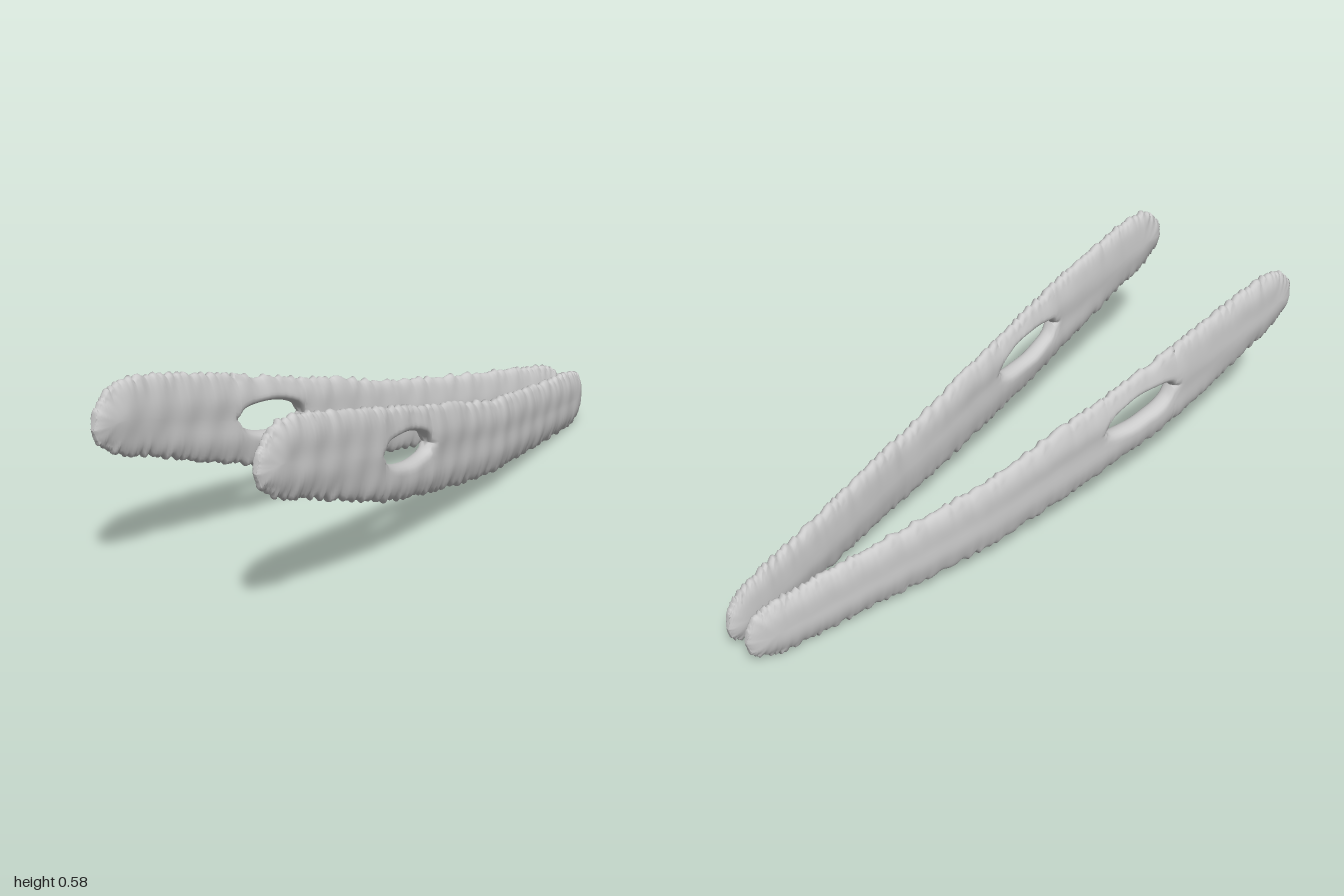
import * as THREE from 'three';
import { mergeVertices } from 'three/addons/utils/BufferGeometryUtils.js';

// Upper and lower edges of a plank (x, y)
const TOP = [
  [-1, 0.475], [-0.99, 0.525], [-0.95, 0.565], [-0.9, 0.588], [-0.8, 0.577], [-0.6, 0.53],
  [-0.4, 0.475], [-0.2, 0.42], [0, 0.372], [0.2, 0.315], [0.4, 0.282], [0.6, 0.25],
  [0.8, 0.222], [0.92, 0.2], [0.965, 0.178], [0.987, 0.145], [0.995, 0.1],
];
const BOTTOM = [
  [-1, 0.475], [-0.985, 0.435], [-0.92, 0.388], [-0.8, 0.348], [-0.6, 0.275], [-0.4, 0.205],
  [-0.2, 0.16], [0, 0.12], [0.2, 0.085], [0.4, 0.065], [0.6, 0.045], [0.8, 0.025],
  [0.9, 0.02], [0.955, 0.035], [0.985, 0.06], [0.995, 0.1],
];
// Sideways bend of a plank along its length (x, z)
const BEND = [
  [-1, 0.272], [-0.8, 0.269], [-0.5, 0.255], [-0.2, 0.224], [0, 0.2],
  [0.25, 0.171], [0.6, 0.108], [1, 0.04],
];
const HOLE = { x: -0.335, halfLength: 0.132, halfHeight: 0.045 };
const HALF_THICKNESS = 0.029;
const COLUMNS = 240, ROWS = 14;

function seeded(seed) {
  return () => {
    seed = (seed * 16807) % 2147483647;
    return seed / 2147483647 - 0.5;
  };
}

function interpolate(points, x) {
  let i = 1;
  while (i < points.length - 1 && points[i][0] < x) i++;
  const [x0, y0] = points[i - 1], [x1, y1] = points[i];
  return y0 + (y1 - y0) * (x - x0) / (x1 - x0);
}

// Heights of one upright column: lower rim, hole bottom, hole top, upper rim
function columnAt(x, rand) {
  const top = interpolate(TOP, x), bottom = interpolate(BOTTOM, x);
  const dx = x - HOLE.x;
  const middle = (top + bottom) / 2 + (0.017 + 0.1 * dx) * Math.exp(-((dx / 0.3) ** 2));
  const open = HOLE.halfHeight * Math.sqrt(Math.max(0, 1 - (dx / HOLE.halfLength) ** 2));
  const ragged = 0.016 * Math.min(1, (top - bottom) / 0.15);
  return {
    x, open,
    y: [bottom + ragged * rand(), middle - open, middle + open, top + ragged * rand()],
  };
}

// Rounded slab: both faces are grids of columns, above and below the hole
function plankGeometry(side, seed) {
  const rand = seeded(seed);
  const xs = [HOLE.x - HOLE.halfLength, HOLE.x + HOLE.halfLength];
  for (let i = 0; i <= COLUMNS; i++) xs.push(-0.0025 - 0.9975 * Math.cos(Math.PI * i / COLUMNS));
  const columns = xs.sort((a, b) => a - b).map(x => columnAt(x, rand));

  const rim = columns.flatMap(c => [[c.x, c.y[0]], [c.x, c.y[3]]]);
  const hole = columns.filter(c => Math.abs(c.x - HOLE.x) < HOLE.halfLength + 1e-6)
    .flatMap(c => [[c.x, c.y[1]], [c.x, c.y[2]]]);
  // Quarter-round profile within r of the nearest edge
  const round = (edge, x, y, r) => {
    let d = r;
    for (const [ex, ey] of edge) d = Math.min(d, Math.hypot(ex - x, ey - y));
    return Math.sqrt(1 - (1 - d / r) ** 2);
  };

  const pos = [], index = [];
  for (const half of [0, 2]) {
    for (const face of [1, -1]) {
      const start = pos.length / 3;
      columns.forEach((c, i) => {
        for (let j = 0; j <= ROWS; j++) {
          const t = (1 - Math.cos(Math.PI * j / ROWS)) / 2;
          const x = c.x, y = c.y[half] * (1 - t) + c.y[half + 1] * t;
          // Shallow worn dents
          const dents = 1 + 0.09 * Math.sin(x * 31 + y * 17 + face) * Math.sin(y * 37 - x * 23 + seed);
          const h = HALF_THICKNESS * dents * round(rim, x, y, 0.08) * round(hole, x, y, 0.022);
          pos.push(x, y, side * (interpolate(BEND, x) + face * h));

          if (i === columns.length - 1 || j === ROWS) continue;
          const a = start + i * (ROWS + 1) + j, b = a + ROWS + 1;
          if (side * face > 0) index.push(a, b, a + 1, b, b + 1, a + 1);
          else index.push(a, a + 1, b, b, a + 1, b + 1);
        }
      });
    }
  }
  const geo = new THREE.BufferGeometry();
  geo.setAttribute('position', new THREE.Float32BufferAttribute(pos, 3));
  geo.setIndex(index);
  const welded = mergeVertices(geo);
  welded.computeVertexNormals();
  return welded;
}

export function createModel() {
  const group = new THREE.Group();
  group.name = 'pairOfPlanks';
  const material = new THREE.MeshStandardMaterial({ color: 0xcccccc });
  for (const [name, side, seed] of [['frontPlank', 1, 11], ['backPlank', -1, 29]]) {
    const plank = new THREE.Mesh(plankGeometry(side, seed), material);
    plank.name = name;
    group.add(plank);
  }
  return group;
}
